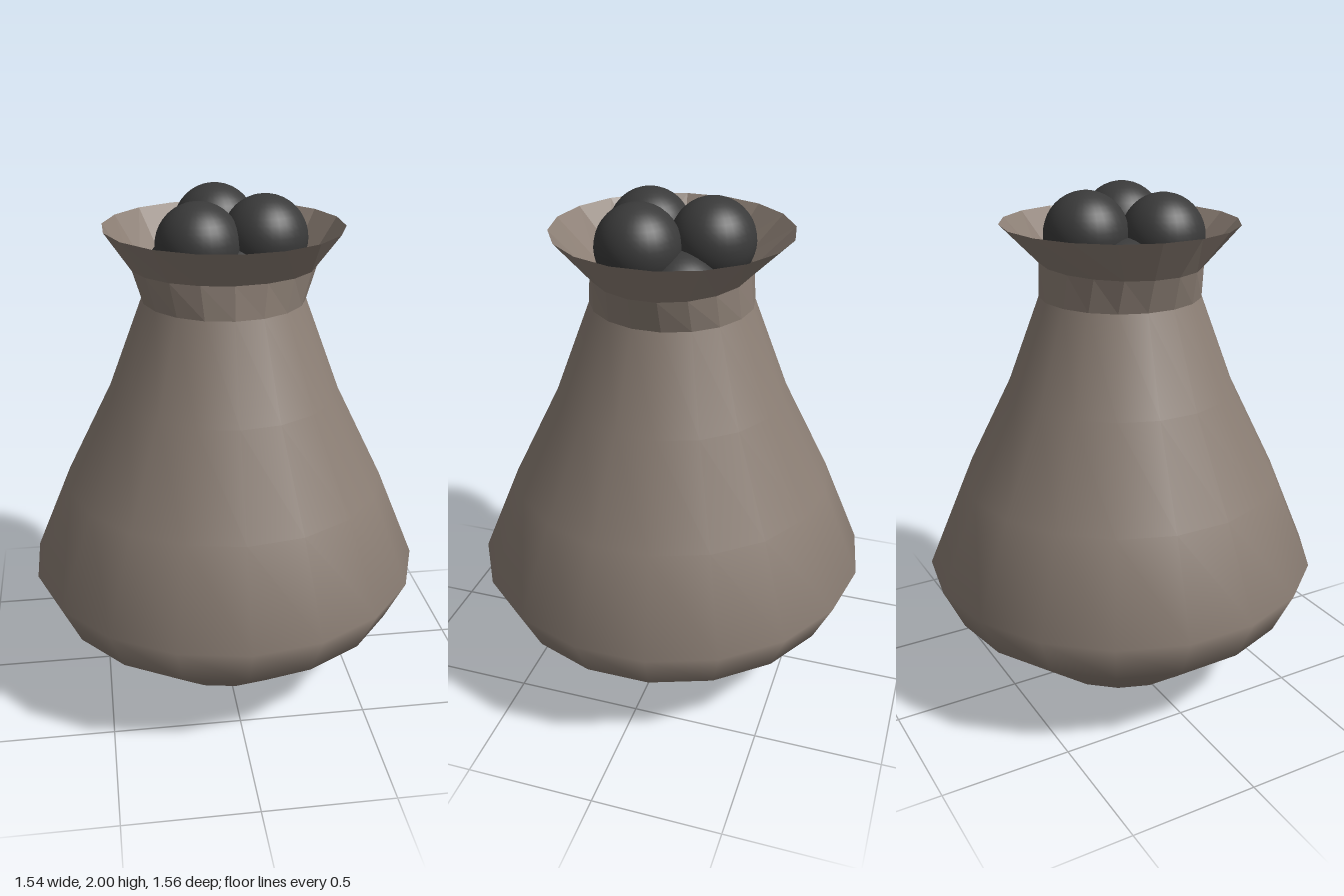
import * as THREE from 'three';

const SIDES = 18;

// Surface of revolution from [radius, height] pairs, listed bottom to top
function lathe(profile) {
  return new THREE.LatheGeometry(profile.map(([r, y]) => new THREE.Vector2(r, y)), SIDES);
}

export function createModel() {
  const model = new THREE.Group();
  model.name = 'sackOfBalls';

  const cloth = new THREE.MeshStandardMaterial({ color: 0x8b7e74, side: THREE.DoubleSide });
  cloth.name = 'brown cloth';
  const coal = new THREE.MeshStandardMaterial({ color: 0x3a3a3a });
  coal.name = 'dark grey';

  function add(name, geometry, material) {
    const mesh = new THREE.Mesh(geometry, material);
    mesh.name = name;
    model.add(mesh);
    return mesh;
  }

  // Smooth, open-topped sack with a shallow pointed base
  add('sackBody', lathe([
    [0, 0], [0.37, 0.07], [0.7, 0.34], [0.78, 0.51],
    [0.63, 0.87], [0.447, 1.24], [0.312, 1.6],
  ]), cloth);

  // Faceted collar and flared rim; the ring between them is oval
  const tieHeight = 1.725;
  const collar = lathe([[0.312, 1.6], [0.3, tieHeight], [0.452, 1.875]]);
  const pos = collar.attributes.position;
  for (let i = 0; i < pos.count; i++) {
    if (Math.abs(pos.getY(i) - tieHeight) < 0.001) pos.setX(i, pos.getX(i) * 1.17);
  }
  const faceted = collar.toNonIndexed();
  faceted.computeVertexNormals();
  add('collarAndRim', faceted, cloth);

  // Balls: three on top, three underneath
  const balls = [
    [-0.015, 1.842, -0.15], [-0.108, 1.828, 0.122], [0.14, 1.842, 0.085],
    [-0.132, 1.68, -0.06], [0.13, 1.68, -0.07], [0.035, 1.68, 0.13],
  ];
  const ballGeometry = new THREE.SphereGeometry(0.158, 32, 20);
  balls.forEach(([x, y, z], i) => {
    add(`ball${i + 1}`, ballGeometry, coal).position.set(x, y, z);
  });

  return model;
}
